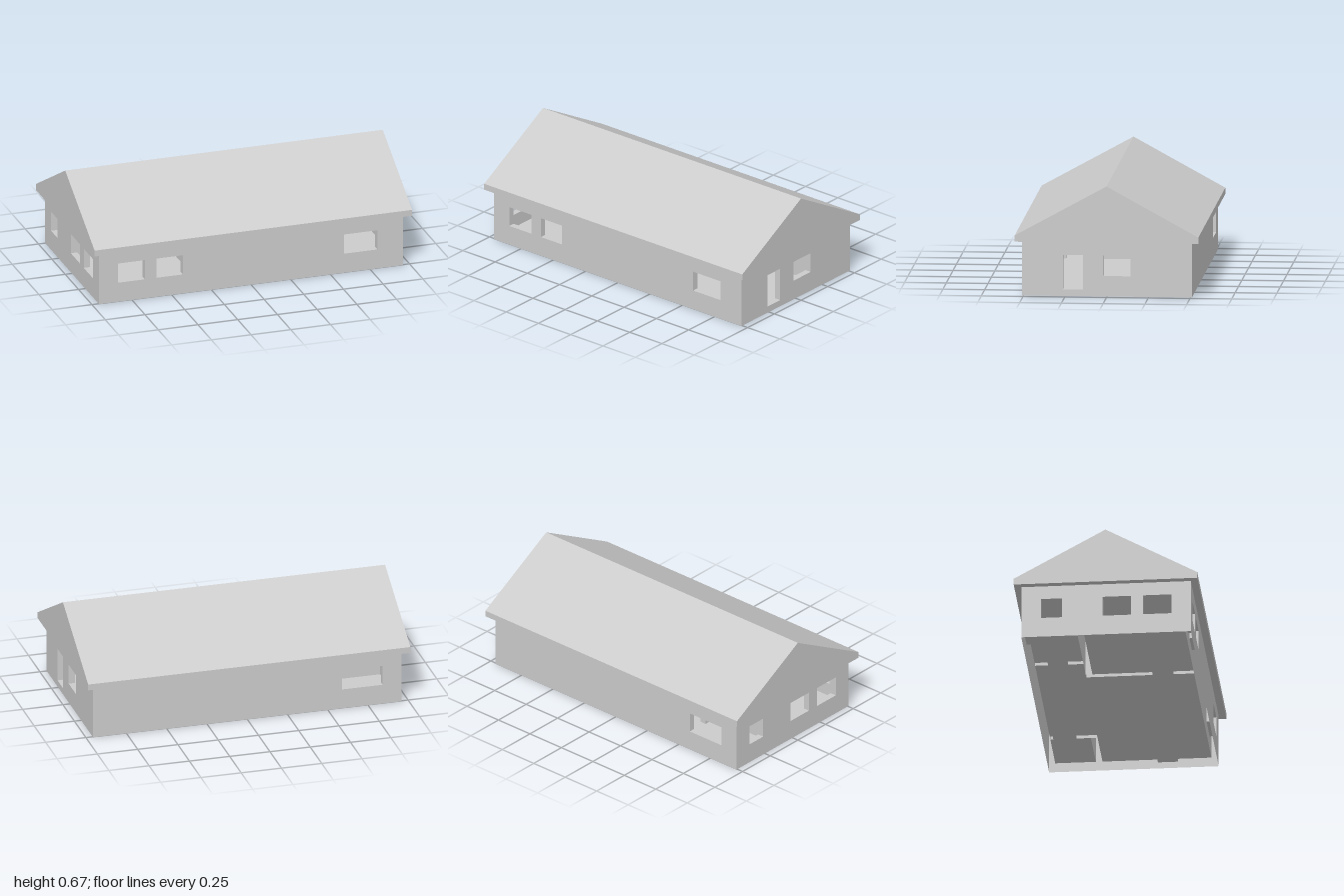
import * as THREE from 'three';

const T = 0.04;                 // wall thickness and floor height
const X = 0.958, Z = 0.508;     // outer half sizes of the walls
const EAVE = 0.33;
const SILL = 0.123, HEAD = 0.247;

const solid = new THREE.MeshStandardMaterial({ color: 0xcccccc, flatShading: true });
const thin = new THREE.MeshStandardMaterial({ color: 0xcccccc, flatShading: true, side: THREE.DoubleSide });

function add(group, name, geometry, material = thin) {
  const mesh = new THREE.Mesh(geometry, material);
  mesh.name = name;
  group.add(mesh);
  return mesh;
}

const near = (a, b) => Math.abs(a - b) < 1e-5;

// Keeps only the triangles whose three corners do not all pass one of the tests
function dropTriangles(geometry, tests) {
  const p = geometry.attributes.position, kept = [];
  for (let i = 0; i < p.count; i += 3) {
    const c = [0, 1, 2].map(k => new THREE.Vector3().fromBufferAttribute(p, i + k));
    if (!tests.some(test => c.every(test))) c.forEach(v => kept.push(v.x, v.y, v.z));
  }
  const out = new THREE.BufferGeometry();
  out.setAttribute('position', new THREE.Float32BufferAttribute(kept, 3));
  return out;
}

function extrude(points, openings = []) {
  const shape = new THREE.Shape(points.map(([x, y]) => new THREE.Vector2(x, y)));
  for (const [a, b, bottom] of openings) {
    shape.holes.push(new THREE.Path([[a, bottom], [a, HEAD], [b, HEAD], [b, bottom]]
      .map(([x, y]) => new THREE.Vector2(x, y))));
  }
  const g = new THREE.ExtrudeGeometry(shape, { depth: T, bevelEnabled: false });
  return g.index ? g.toNonIndexed() : g;
}

// Outer wall, open below and mitred at the ends; its inner face starts at the floor
function outerWall(half, outerDepth, openings) {
  const g = dropTriangles(
    extrude([[-half, 0], [half, 0], [half, EAVE], [-half, EAVE]], openings),
    [v => near(v.y, 0), v => near(v.x, half), v => near(v.x, -half)]);
  const p = g.attributes.position;
  for (let i = 0; i < p.count; i++) {
    if (near(p.getZ(i), outerDepth)) continue;
    p.setX(i, THREE.MathUtils.clamp(p.getX(i), T - half, half - T));
    p.setY(i, Math.max(p.getY(i), T));
  }
  g.computeVertexNormals();
  return g;
}

// Partition from a to b, open below, with an optional doorway
function partition(a, b, door) {
  const notch = door ? [[door[0], T], [door[0], HEAD], [door[1], HEAD], [door[1], T]] : [];
  const g = dropTriangles(extrude([[a, T], ...notch, [b, T], [b, EAVE], [a, EAVE]]), [v => near(v.y, T)]);
  g.computeVertexNormals();
  return g;
}

export function createModel() {
  const house = new THREE.Group();
  house.name = 'house';

  // Outer walls with window and door openings
  const walls = new THREE.Group();
  walls.name = 'outerWalls';
  house.add(walls);
  add(walls, 'frontWall', outerWall(X, T, [
    [-0.84, -0.67, SILL], [-0.595, -0.43, SILL], [0.585, 0.795, SILL],
  ]).translate(0, 0, Z - T));
  add(walls, 'backWall', outerWall(X, 0, [[-0.84, -0.588, SILL]]).translate(0, 0, -Z));
  add(walls, 'doorWall', outerWall(Z, 0, [
    [-0.141, 0.022, SILL], [0.144, 0.265, T],
  ]).rotateY(-Math.PI / 2).translate(X, 0, 0));
  add(walls, 'windowWall', outerWall(Z, T, [
    [-0.39, -0.265, SILL], [-0.02, 0.148, SILL], [0.222, 0.391, SILL],
  ]).rotateY(-Math.PI / 2).translate(T - X, 0, 0));

  // Inner walls
  const xi = X - T, zi = Z - T;
  const partitions = new THREE.Group();
  partitions.name = 'partitions';
  house.add(partitions);
  const across = [[0.58, xi, -0.225], [-xi, -0.315, -0.178]];      // from x, to x, low z
  for (const [a, b, z] of across) add(partitions, 'crossPartition', partition(a, b).translate(0, 0, z));
  const along = [                                                  // from z, to z, high x, doorway
    [-zi, -0.185, 0.58, [-0.45, -0.31]],
    [-0.178, zi, -0.275, [0.22, 0.345]],
    [-zi, -0.178, -0.465, [-0.39, -0.27]],
  ];
  for (const [a, b, x, door] of along) {
    add(partitions, 'doorwayPartition', partition(a, b, door).rotateY(-Math.PI / 2).translate(x, 0, 0));
  }

  // Floors of the rooms and doorways: x from, x to, z from, z to
  const floors = new THREE.Group();
  floors.name = 'floors';
  house.add(floors);
  const rooms = [
    [-0.275, 0.54, -zi, zi], [0.54, xi, -0.185, zi], [-0.465, -0.275, -zi, -0.178],
    [0.58, xi, -zi, -0.225], [-xi, -0.315, -0.138, zi], [-xi, -0.505, -zi, -0.178],
    [0.54, 0.58, -0.45, -0.31], [-0.315, -0.275, 0.22, 0.345], [-0.505, -0.465, -0.39, -0.27],
  ];
  for (const [x0, x1, z0, z1] of rooms) {
    add(floors, 'floor', new THREE.PlaneGeometry(x1 - x0, z1 - z0)
      .rotateX(-Math.PI / 2).translate((x0 + x1) / 2, T, (z0 + z1) / 2));
  }

  // Gable roof with a straight fascia
  const gable = new THREE.Shape([[-0.55, EAVE], [0.55, EAVE], [0.55, 0.368], [0, 0.67], [-0.55, 0.368]]
    .map(([x, y]) => new THREE.Vector2(x, y)));
  add(house, 'roof', new THREE.ExtrudeGeometry(gable, { depth: 2, bevelEnabled: false })
    .translate(0, 0, -1).rotateY(Math.PI / 2), solid);

  return house;
}
